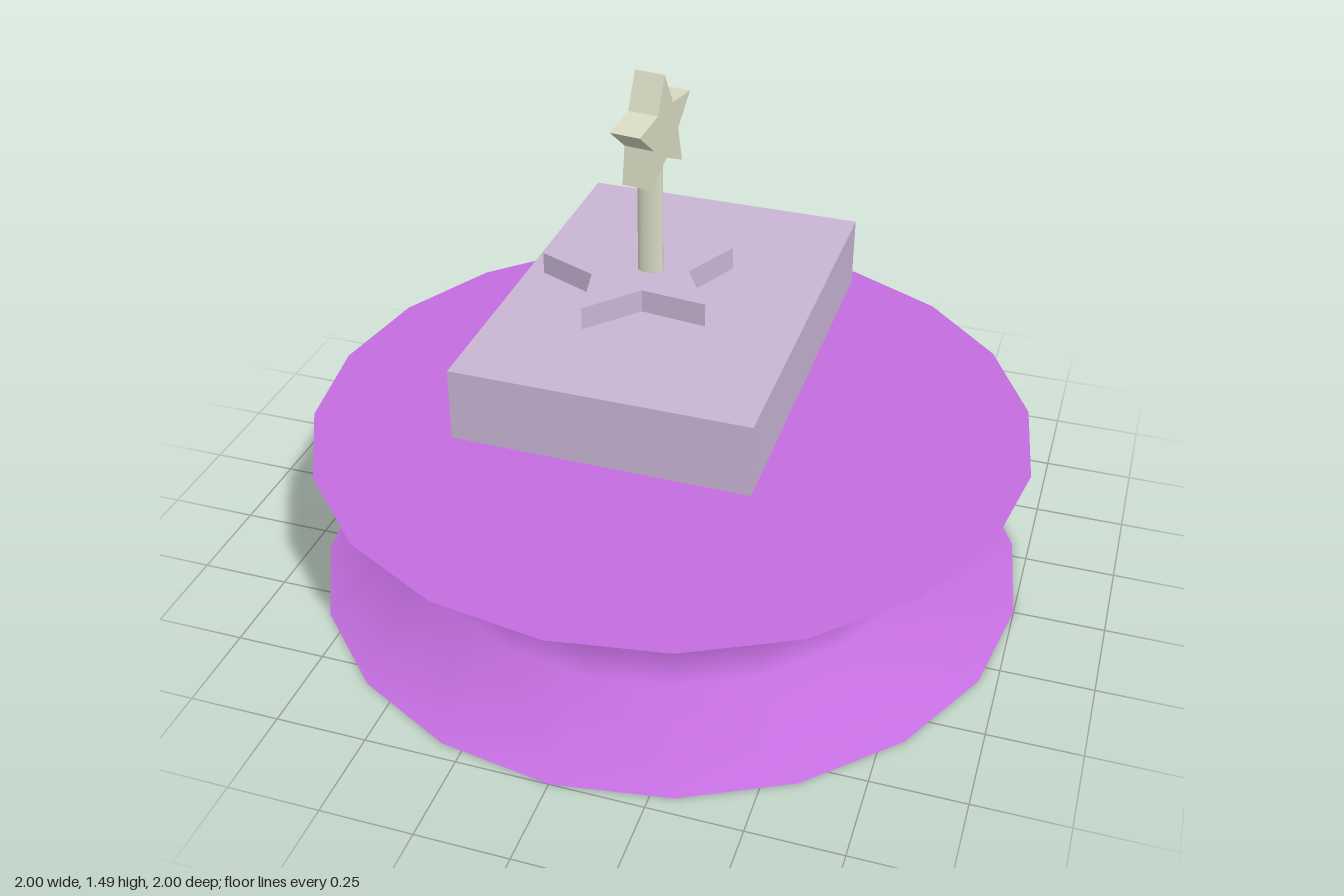
import * as THREE from 'three';

const material = (color, side = THREE.FrontSide) => new THREE.MeshStandardMaterial({ color, side });
const purple = material(0xc46ee0);
const lilac = material(0xc9b5d4);
const cream = material(0xd8dac2);

function addPart(group, name, geometry, mat, x = 0, y = 0, z = 0) {
  const mesh = new THREE.Mesh(geometry, mat);
  mesh.name = name;
  mesh.position.set(x, y, z);
  group.add(mesh);
  return mesh;
}

// Five-pointed star prism, centred on its own depth; startAngle aims the first point
function starGeometry(outer, inner, depth, startAngle) {
  const points = [];
  for (let i = 0; i < 10; i++) {
    const r = i % 2 ? inner : outer;
    const a = startAngle + (i * Math.PI) / 5;
    points.push(new THREE.Vector2(r * Math.cos(a), r * Math.sin(a)));
  }
  const geometry = new THREE.ExtrudeGeometry(new THREE.Shape(points), { depth, bevelEnabled: false });
  return geometry.translate(0, 0, -depth / 2);
}

export function createModel() {
  const model = new THREE.Group();
  model.name = 'starSpool';

  // Spool base: flared rims around a narrower waist, 20 sides
  const top = 0.465;
  const profile = [[1, 0], [0.73, 0.12], [0.73, 0.355], [1, top]].map(([r, y]) => new THREE.Vector2(r, y));
  addPart(model, 'spoolSide', new THREE.LatheGeometry(profile, 20), purple);
  addPart(model, 'spoolTop', new THREE.CircleGeometry(1, 20).rotateX(-Math.PI / 2), purple, 0, top);
  addPart(model, 'spoolBottom', new THREE.CircleGeometry(1, 20).rotateX(Math.PI / 2), purple);

  // Round neck under the block
  addPart(model, 'neck', new THREE.CylinderGeometry(0.275, 0.275, 0.22, 32), purple, 0, 0.56);

  // Rectangular block, leaning very slightly
  const block = addPart(model, 'block', new THREE.BoxGeometry(0.79, 0.2, 1.11), lilac, -0.015, 0.756, 0);
  block.rotation.z = -0.009;

  // Star lying flat on the block
  const flatStar = starGeometry(0.272, 0.136, 0.08, THREE.MathUtils.degToRad(-177));
  addPart(model, 'flatStar', flatStar.rotateX(-Math.PI / 2), lilac, -0.091, 0.88, -0.003);

  // Flattened pole carrying the upright star
  const pole = addPart(model, 'pole', new THREE.CylinderGeometry(1, 1, 0.4, 24), cream, -0.055, 1.08, 0.012);
  pole.scale.set(0.035, 1, 0.018);

  // Upright star facing sideways
  const star = addPart(model, 'uprightStar', starGeometry(0.156, 0.076, 0.083, Math.PI / 2 + 0.045), cream, -0.052, 1.331, 0.008);
  star.rotation.y = Math.PI / 2 - 0.13;

  return model;
}
